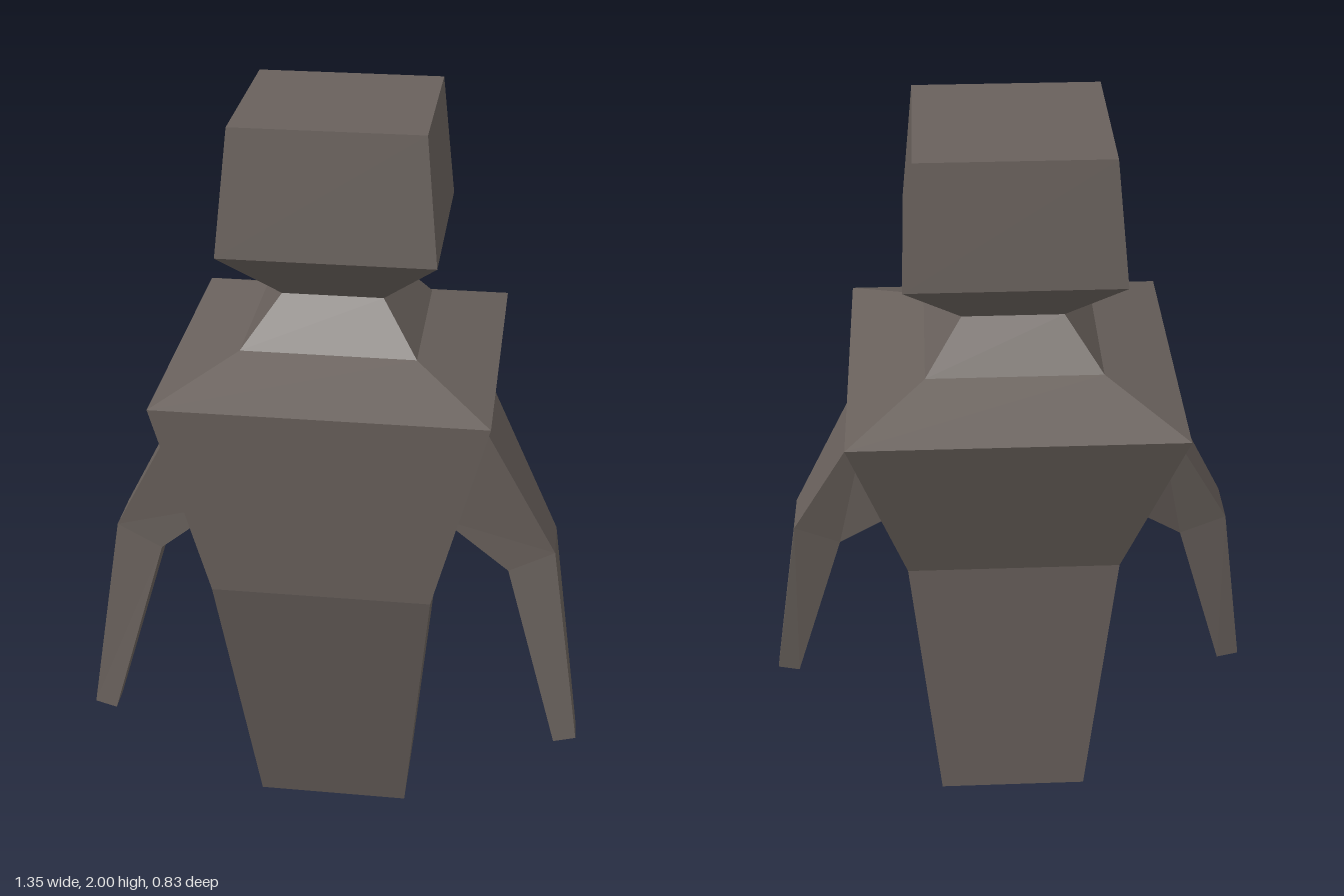
import * as THREE from 'three';

// Faceted loft through four-cornered sections, capped at both ends.
// Sections run along the loft, corners counter-clockwise seen from its far end.
function loft(sections, flip = false) {
  const pos = [];
  const tri = (a, b, c) => pos.push(...a, ...(flip ? c : b), ...(flip ? b : c));
  const quad = (a, b, c, d) => { tri(a, b, c); tri(a, c, d); };
  for (let i = 0; i < sections.length - 1; i++) {
    const s = sections[i], t = sections[i + 1];
    for (let j = 0; j < 4; j++) {
      const k = (j + 1) % 4;
      quad(s[j], s[k], t[k], t[j]);
    }
  }
  const [a, b, c, d] = sections[0];
  quad(d, c, b, a);
  quad(...sections[sections.length - 1]);
  const geo = new THREE.BufferGeometry();
  geo.setAttribute('position', new THREE.Float32BufferAttribute(pos, 3));
  geo.computeVertexNormals();
  return geo;
}

// Level rectangle: height, half width, back z, front z
const level = ([y, w, back, front]) => [
  [-w, y, front], [w, y, front], [w, y, back], [-w, y, back],
];

export function createModel() {
  const group = new THREE.Group();
  const stone = new THREE.MeshStandardMaterial({ color: 0x69615c });
  stone.name = 'darkStone';

  const add = (name, geo) => {
    const mesh = new THREE.Mesh(geo, stone);
    mesh.name = name;
    group.add(mesh);
  };

  // Torso, shoulders, neck and head in one continuous loft
  add('body', loft([
    [0, 0.205, -0.143, 0.137],
    [0.82, 0.28, -0.19, 0.375],
    [1.345, 0.415, -0.415, 0.415],
    [1.425, 0.22, -0.22, 0.22],
    [1.545, 0.127, -0.127, 0.127],
    [1.685, 0.267, -0.267, 0.267],
    [2, 0.235, -0.235, 0.235],
  ].map(level)));

  // Arms: shoulder, elbow and hand; corners are outer front, outer back, inner back, inner front
  const arm = [
    [[0.37, 1.258, 0.169], [0.37, 1.258, -0.12], [0.289, 0.934, -0.072], [0.289, 0.934, 0.142]],
    [[0.587, 0.843, 0.122], [0.587, 0.843, -0.013], [0.467, 0.782, 0.002], [0.467, 0.782, 0.127]],
    [[0.675, 0.275, 0.155], [0.675, 0.275, 0.092], [0.615, 0.262, 0.092], [0.615, 0.262, 0.16]],
  ];
  for (const side of [1, -1]) {
    const sections = arm.map(s => s.map(([x, y, z]) => [side * x, y, z]));
    // Corner order is clockwise down the left arm, so only that side is flipped
    add(side > 0 ? 'leftArm' : 'rightArm', loft(sections, !isOutward(sections)));
  }
  return group;
}

// True when the corners run counter-clockwise around the direction of the loft
function isOutward(sections) {
  const v = p => new THREE.Vector3(...p);
  const [a, b, c] = sections[0].map(v);
  const normal = b.clone().sub(a).cross(c.clone().sub(b));
  return normal.dot(v(sections[1][0]).sub(a)) > 0;
}
